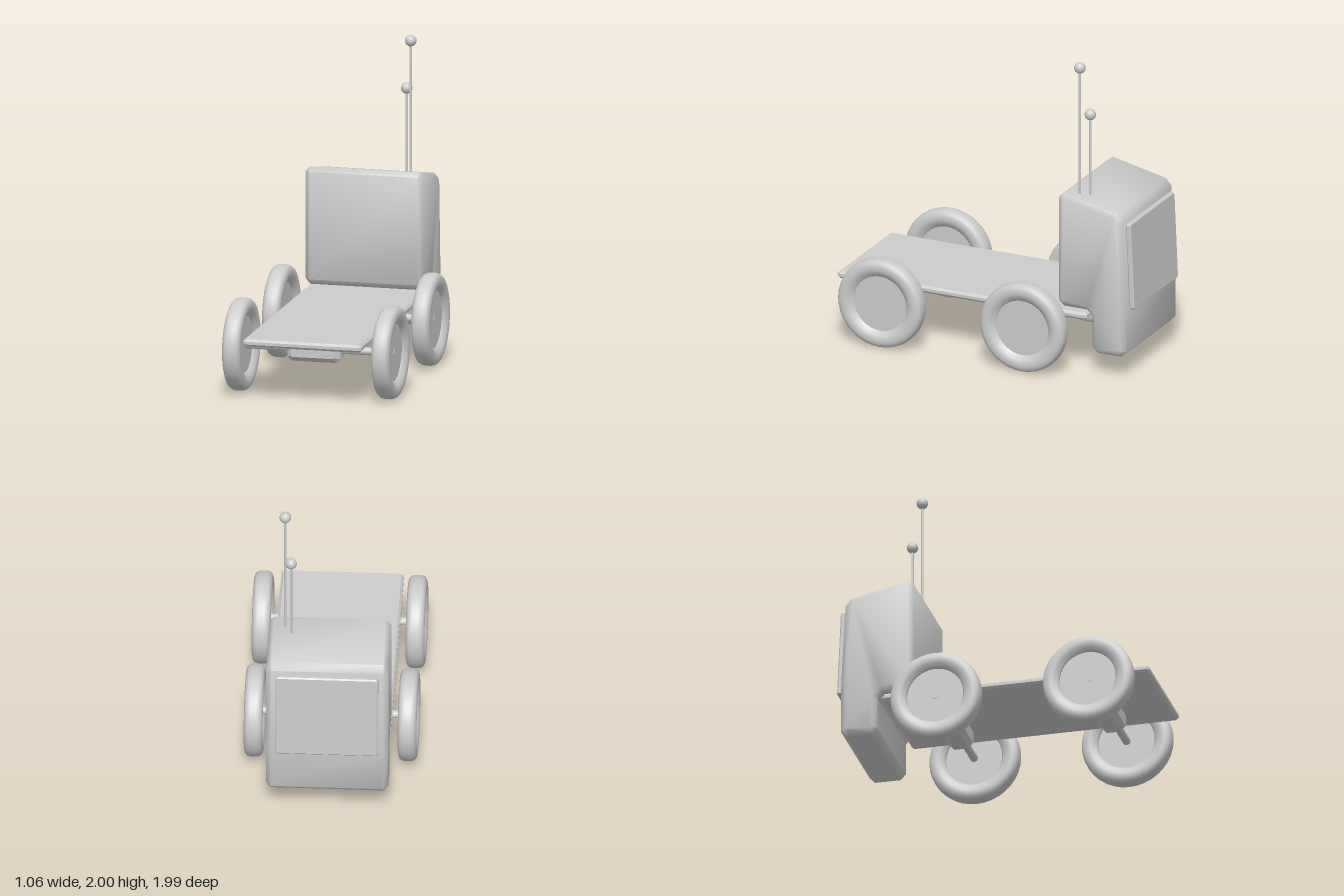
import * as THREE from 'three';
import { toCreasedNormals } from 'three/addons/utils/BufferGeometryUtils.js';

const grey = new THREE.MeshStandardMaterial({ color: 0xcccccc });

function add(parent, name, geometry, x = 0, y = 0, z = 0) {
  const mesh = new THREE.Mesh(geometry, grey);
  mesh.name = name;
  mesh.position.set(x, y, z);
  parent.add(mesh);
  return mesh;
}

// Cut every corner of an outline by a distance c
function cutCorners(points, c) {
  const n = points.length;
  return points.flatMap(([x, y], i) =>
    [points[(i + n - 1) % n], points[(i + 1) % n]].map(([px, py]) => {
      const t = c / Math.hypot(px - x, py - y);
      return new THREE.Vector2(x + (px - x) * t, y + (py - y) * t);
    }));
}

// Extrude an outline, centred in depth, with one chamfer around both faces
function chamferedSolid(points, depth, bevel, corner, crease) {
  const geometry = new THREE.ExtrudeGeometry(new THREE.Shape(cutCorners(points, corner)), {
    depth: depth - 2 * bevel,
    bevelSize: bevel, bevelThickness: bevel, bevelOffset: -bevel, bevelSegments: 1,
  });
  geometry.translate(0, 0, -depth / 2 + bevel);
  return toCreasedNormals(geometry, crease);
}

const rectangle = (w, h) => [[-w / 2, -h / 2], [w / 2, -h / 2], [w / 2, h / 2], [-w / 2, h / 2]];

// Tyre with rounded shoulders around a recessed disc
function createWheel(name) {
  const wheel = new THREE.Group();
  wheel.name = name;
  const half = [[0.178, 0.028], [0.186, 0.036], [0.205, 0.05], [0.225, 0.0575],
    [0.25, 0.0575], [0.27, 0.05], [0.281, 0.037], [0.286, 0.018]];
  const profile = [...half.map(([r, h]) => [r, -h]), ...half.slice().reverse(), [0.178, -0.028]];
  const tyre = new THREE.LatheGeometry(profile.map(p => new THREE.Vector2(...p)), 36);
  add(wheel, 'tyre', tyre.rotateZ(Math.PI / 2));
  add(wheel, 'wheelDisc', new THREE.CylinderGeometry(0.184, 0.184, 0.05, 36).rotateZ(Math.PI / 2));
  return wheel;
}

export function createModel() {
  const model = new THREE.Group();
  model.name = 'flatbedCart';

  // Flat load bed
  const bed = chamferedSolid(rectangle(0.75, 1.69), 0.046, 0.014, 0.015, 0.4);
  add(model, 'bed', bed.rotateX(-Math.PI / 2), 0, 0.378, 0.148);

  // Cab, drawn as a side profile (distance backwards, height) with a stepped underside
  const cabProfile = [[0.5, 0.42], [0.73, 0.42], [0.73, 0.148], [0.96, 0.148],
    [0.96, 0.5], [0.93, 1.07], [0.5, 1.165]];
  const cab = chamferedSolid(cabProfile, 0.75, 0.03, 0.035, 0.9);
  add(model, 'cab', cab.rotateY(Math.PI / 2));

  // Raised panel on the sloping rear wall of the cab
  const panel = add(model, 'rearPanel',
    chamferedSolid(rectangle(0.63, 0.56), 0.034, 0.008, 0.012, 0.4), 0, 0.732, -0.967);
  panel.rotation.x = 0.045;

  // Axles with a housing in the middle and a wheel at each end
  for (const [label, z] of [['front', 0.64], ['rear', -0.325]]) {
    const axle = new THREE.Group();
    axle.name = label + 'Axle';
    axle.position.set(0, 0.29, z);
    add(axle, 'axleShaft', new THREE.CylinderGeometry(0.025, 0.025, 1.0, 16).rotateZ(Math.PI / 2));
    add(axle, 'axleHousing', chamferedSolid(rectangle(0.335, 0.135), 0.15, 0.03, 0.025, 0.4),
      0, -0.008, 0);
    for (const side of [-1, 1]) {
      const wheel = createWheel(side > 0 ? 'leftWheel' : 'rightWheel');
      wheel.position.x = side * 0.472;
      axle.add(wheel);
    }
    model.add(axle);
  }

  // Two ball-tipped aerials on the roof
  for (const [name, x, z, top] of [['tallAerial', 0.272, -0.608, 1.965], ['shortAerial', 0.234, -0.66, 1.655]]) {
    const aerial = new THREE.Group();
    aerial.name = name;
    aerial.position.set(x, 0, z);
    const foot = 1.09;
    add(aerial, 'rod', new THREE.CylinderGeometry(0.008, 0.008, top - foot, 10), 0, (top + foot) / 2, 0);
    add(aerial, 'ballTip', new THREE.SphereGeometry(0.036, 16, 12), 0, top, 0);
    model.add(aerial);
  }
  return model;
}
